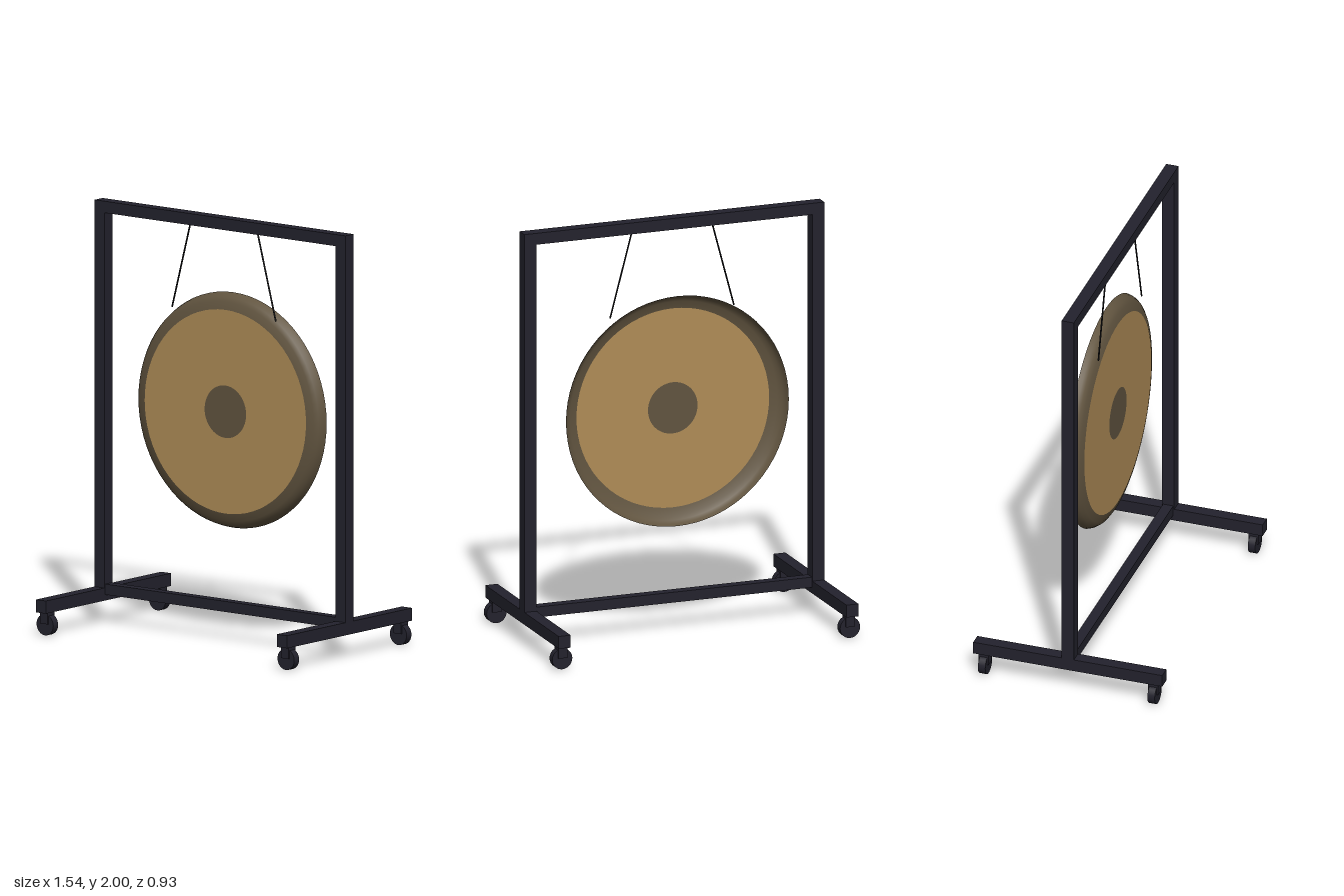
import * as THREE from 'three';

const mat = (name, color, side = THREE.FrontSide) => {
  const m = new THREE.MeshStandardMaterial({ color, side });
  m.name = name;
  return m;
};

export function createModel() {
  const model = new THREE.Group();
  model.name = 'gongOnStand';

  const frameMat = mat('darkFrame', 0x23222d);
  const goldMat = mat('gold', 0xb08d57, THREE.DoubleSide);
  const bronzeMat = mat('darkBronze', 0x625540, THREE.DoubleSide);
  const cordMat = mat('blackCord', 0x111114);

  const add = (parent, name, geometry, material, x = 0, y = 0, z = 0) => {
    const mesh = new THREE.Mesh(geometry, material);
    mesh.name = name;
    mesh.position.set(x, y, z);
    parent.add(mesh);
    return mesh;
  };
  const box = (name, w, h, d, x, y, z) =>
    add(model, name, new THREE.BoxGeometry(w, h, d), frameMat, x, y, z);

  // Crossbars
  box('topBeam', 1.38, 0.055, 0.06, 0, 1.9725, 0);
  box('bottomBeam', 1.38, 0.05, 0.05, 0, 0.163, 0);

  for (const side of [-1, 1]) {
    const x = side * 0.72;
    const label = side > 0 ? 'left' : 'right';

    // Upright and foot
    box(label + 'Post', 0.06, 1.83, 0.06, x, 1.085, 0);
    box(label + 'Foot', 0.06, 0.06, 0.93, x, 0.14, 0);

    // Casters, rolling sideways
    for (const end of [-1, 1]) {
      const z = end * 0.417;
      const caster = new THREE.Group();
      caster.name = label + (end > 0 ? 'FrontCaster' : 'BackCaster');
      caster.position.set(x, 0, z);
      add(caster, 'fork', new THREE.BoxGeometry(0.045, 0.055, 0.05), frameMat, 0, 0.0825, 0);
      const wheel = new THREE.CylinderGeometry(0.05, 0.05, 0.036, 24).rotateX(Math.PI / 2);
      add(caster, 'wheel', wheel, frameMat, 0, 0.05, 0);
      model.add(caster);
    }

    // Hanging cord
    const top = new THREE.Vector3(side * 0.2, 1.95, 0);
    const bottom = new THREE.Vector3(side * 0.31, 1.54, 0);
    const path = new THREE.LineCurve3(bottom, top);
    add(model, label + 'Cord', new THREE.TubeGeometry(path, 1, 0.004, 8), cordMat);
  }

  // Gong: a shallow dish, open at the back
  const gong = new THREE.Group();
  gong.name = 'gong';
  gong.position.set(0, 1.077, 0);
  const profile = [[0.557, -0.07], [0.55, -0.05], [0.538, -0.033], [0.518, -0.02], [0.482, -0.01]]
    .map(([r, z]) => new THREE.Vector2(r, z));
  add(gong, 'rim', new THREE.LatheGeometry(profile, 72).rotateX(Math.PI / 2), bronzeMat);
  add(gong, 'face', new THREE.RingGeometry(0.124, 0.482, 72, 1), goldMat, 0, 0, -0.01);
  add(gong, 'centre', new THREE.CircleGeometry(0.124, 72), bronzeMat, 0, 0, -0.01);
  model.add(gong);

  return model;
}
